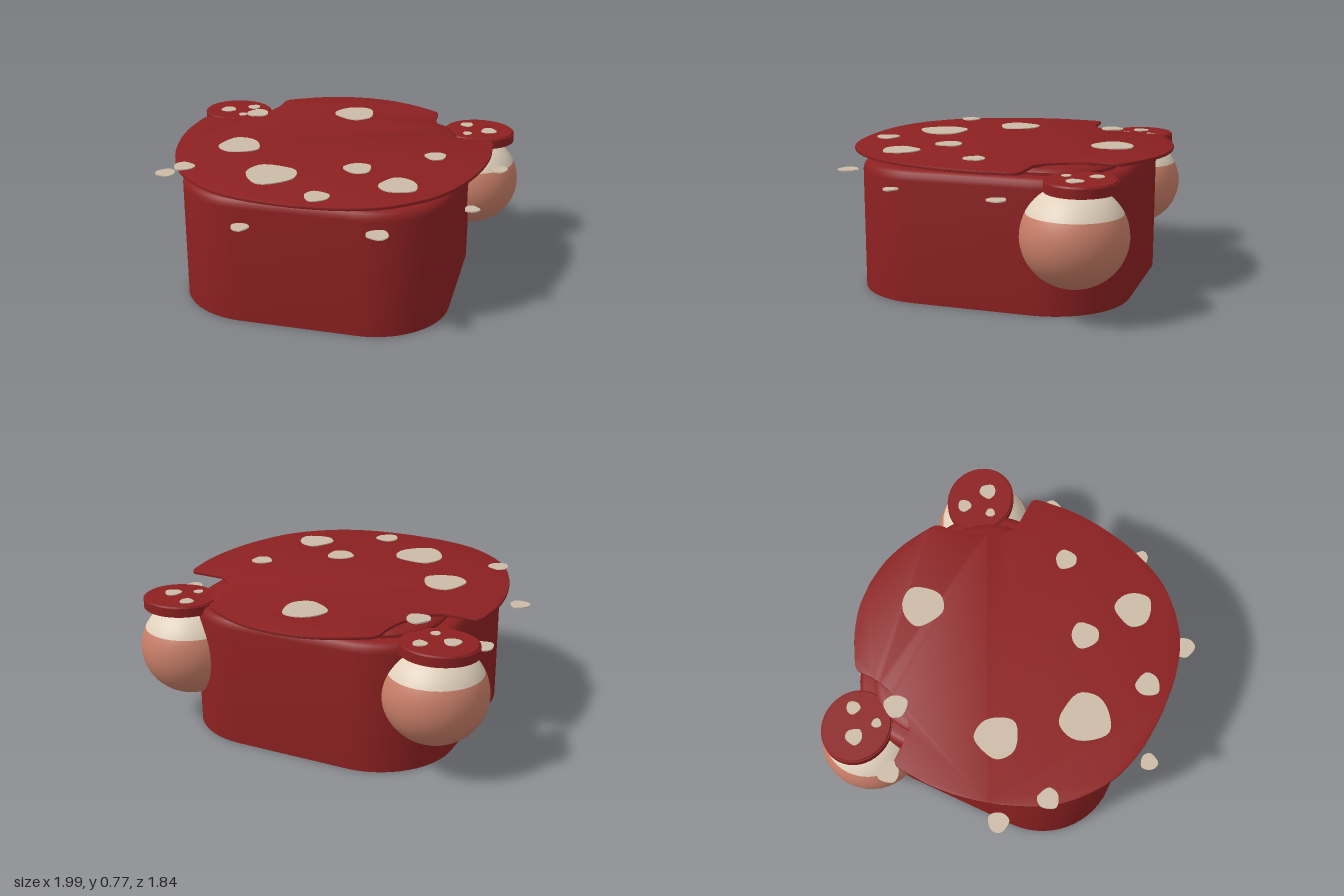
import * as THREE from 'three';
import { toCreasedNormals } from 'three/addons/utils/BufferGeometryUtils.js';

const mat = (name, color) => {
  const m = new THREE.MeshStandardMaterial({ color });
  m.name = name;
  return m;
};

// Outline of a rounded rectangle as [x, z] points, shrunk by an inset
function roundedOutline(inset) {
  const hx = 0.74 - inset, hz = 0.74 - inset, r = 0.42 - inset, zc = -0.03, n = 14;
  const pts = [];
  [[1, 1], [-1, 1], [-1, -1], [1, -1]].forEach(([sx, sz], q) => {
    for (let i = 0; i <= n; i++) {
      const a = (q + i / n) * Math.PI / 2;
      pts.push([sx * (hx - r) + r * Math.cos(a), zc + sz * (hz - r) + r * Math.sin(a)]);
    }
  });
  return pts;
}

// Closed solid through rings given as [inset, y], from bottom to top
function loft(levels) {
  const pos = [], idx = [], rings = levels.map(([inset]) => roundedOutline(inset));
  const n = rings[0].length;
  rings.forEach((ring, k) => ring.forEach(([x, z]) => pos.push(x, levels[k][1], z)));
  for (let k = 0; k < rings.length - 1; k++) {
    for (let i = 0; i < n; i++) {
      const a = k * n + i, b = k * n + (i + 1) % n;
      idx.push(a, a + n, b, b, a + n, b + n);
    }
  }
  const last = rings.length - 1, c = pos.length / 3;
  pos.push(0, levels[0][1], -0.03, 0, levels[last][1], -0.03);
  for (let i = 0; i < n; i++) {
    const j = (i + 1) % n;
    idx.push(c, i, j, c + 1, last * n + j, last * n + i);
  }
  const g = new THREE.BufferGeometry();
  g.setAttribute('position', new THREE.Float32BufferAttribute(pos, 3));
  g.setIndex(idx);
  return toCreasedNormals(g, 0.6);
}

// Flat plate from a plan shape (shape y = -z), standing on height y
function plate(shape, y, depth, bevel = 0) {
  const g = new THREE.ExtrudeGeometry(shape, {
    depth: depth - 2 * bevel, bevelEnabled: bevel > 0, bevelSize: bevel, bevelOffset: -bevel,
    bevelThickness: bevel, bevelSegments: 2, curveSegments: 16,
  });
  g.rotateX(-Math.PI / 2).translate(0, y + bevel, 0);
  return toCreasedNormals(g, 0.6);
}

// Irregular pebble-like outline
function blob(x, z, r, seed) {
  const pts = [];
  for (let i = 0; i < 8; i++) {
    const a = i * Math.PI / 4 + seed;
    const k = r * (1 + 0.09 * Math.sin(seed * 7.3 + i * 2.4));
    pts.push(new THREE.Vector2(x + k * Math.cos(a), -z + k * Math.sin(a)));
  }
  const s = new THREE.Shape();
  s.moveTo(pts[0].x, pts[0].y);
  const curve = new THREE.CatmullRomCurve3(pts.map(p => new THREE.Vector3(p.x, p.y, 0)), true);
  curve.getPoints(28).slice(1, -1).forEach(p => s.lineTo(p.x, p.y));
  return s;
}

// Cap outline: domed back, a notch on each side, broad round front
function capShape() {
  const back = [[0, -0.92], [0.15, -0.905], [0.3, -0.855], [0.43, -0.785]];
  const notch = [[0.43, -0.785], [0.48, -0.74], [0.49, -0.62], [0.53, -0.49], [0.59, -0.39], [0.66, -0.335]];
  const side = [[0.84, -0.33], [0.865, -0.3], [0.875, -0.2], [0.88, -0.08], [0.86, 0.1], [0.8, 0.32],
    [0.68, 0.55], [0.47, 0.73], [0.24, 0.81], [0, 0.83]];
  const half = [back, notch, side].flatMap(run =>
    new THREE.SplineCurve(run.map(([x, z]) => new THREE.Vector2(x, -z))).getPoints(30));
  const clean = half.filter((p, i) => i === 0 || p.distanceTo(half[i - 1]) > 1e-4);
  const mirrored = clean.slice(1, -1).reverse().map(p => new THREE.Vector2(-p.x, p.y));
  return new THREE.Shape([...clean, ...mirrored]);
}

export function createModel() {
  const model = new THREE.Group();
  const red = mat('mushroom red', 0x8c2021);
  const pebble = mat('spot beige', 0xcbbba7);
  const cream = mat('cream', 0xe0d0bc);
  const clay = mat('clay pink', 0xc87e68);

  const add = (name, geometry, material, parent = model) => {
    const m = new THREE.Mesh(geometry, material);
    m.name = name;
    parent.add(m);
    return m;
  };

  // Main body with a softened top edge, and a smaller step under the cap
  add('body', loft([[0, 0], [0, 0.655], [0.004, 0.675], [0.015, 0.693], [0.03, 0.704], [0.05, 0.708]]), red);
  add('capStep', loft([[0.085, 0.7], [0.085, 0.722], [0.095, 0.735], [0.115, 0.742], [0.13, 0.748]]), red);

  // Thin overhanging cap
  add('cap', plate(capShape(), 0.744, 0.017, 0.003), red);

  // Spots on the cap
  const capSpots = [
    [0, -0.595, 0.115], [-0.5, 0.1, 0.115], [-0.205, 0.475, 0.135], [0.22, 0.28, 0.075], [0.475, 0.46, 0.1],
    [0.105, 0.7, 0.065], [0.59, 0, 0.058], [-0.575, -0.46, 0.063], [-0.685, 0.48, 0.056],
  ];
  capSpots.forEach(([x, z, r], i) => add('capSpot', plate(blob(x, z, r, i + 1), 0.758, 0.008), pebble));

  // Spots hovering around the rim
  const rimSpots = [
    [-0.885, -0.36, 0.061], [0.915, -0.23, 0.05], [-0.88, 0.285, 0.055], [0.845, 0.36, 0.04],
    [-0.245, 0.87, 0.046], [0.44, 0.79, 0.058],
  ];
  rimSpots.forEach(([x, z, r], i) => add('rimSpot', plate(blob(x, z, r, i + 12), 0.627, 0.006), pebble));

  // Round pots at the back corners, each with a cream top and a spotted lid
  for (const s of [-1, 1]) {
    const pot = new THREE.Group();
    pot.name = s > 0 ? 'leftPot' : 'rightPot';
    model.add(pot);
    const split = Math.acos(0.12 / 0.265);
    const parts = [
      ['potTop', cream, 0, split],
      ['potBowl', clay, split, Math.PI - split],
    ];
    for (const [name, material, start, length] of parts) {
      const ball = add(name, new THREE.SphereGeometry(1, 40, 20, 0, Math.PI * 2, start, length), material, pot);
      ball.scale.set(0.275, 0.265, 0.275);
      ball.position.set(s * 0.72, 0.43, -0.57);
    }
    const lid = add('lid', new THREE.CylinderGeometry(1, 1, 0.048, 48), red, pot);
    lid.scale.set(0.205, 1, 0.184);
    lid.position.set(s * 0.75, 0.692, -0.608);
    const lidTop = add('lidTop', new THREE.CylinderGeometry(0.95, 0.98, 0.01, 48), red, pot);
    lidTop.scale.set(0.205, 1, 0.184);
    lidTop.position.set(s * 0.75, 0.719, -0.608);
    [[0.67, -0.67, 0.037], [0.81, -0.59, 0.045], [0.693, -0.518, 0.026]].forEach(([x, z, r], i) =>
      add('lidSpot', plate(blob(s * x, z, r, i + 20), 0.722, 0.006), pebble, pot));
  }
  return model;
}
